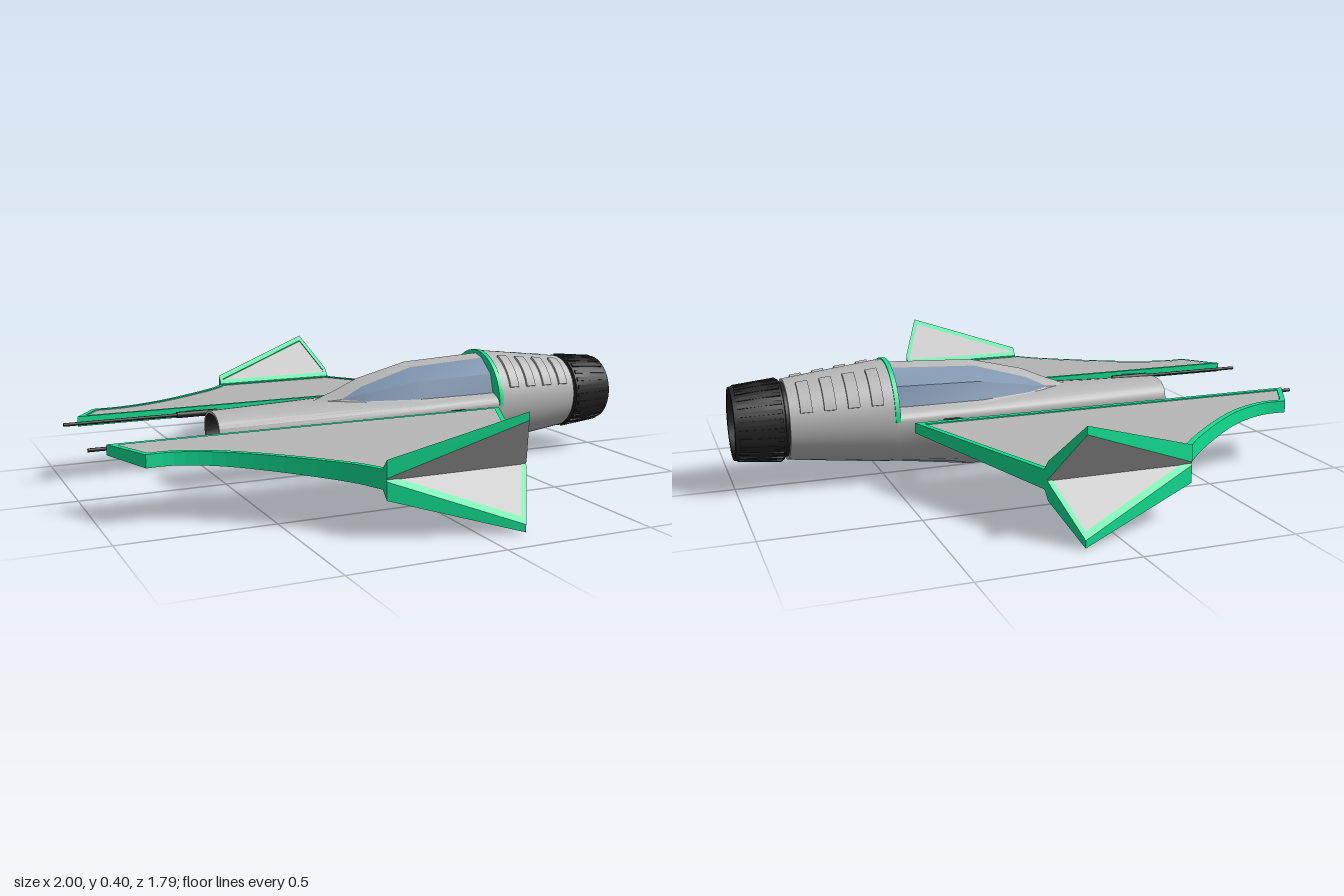
import * as THREE from 'three';
import { toCreasedNormals } from 'three/addons/utils/BufferGeometryUtils.js';

const mat = (name, color) => {
  const m = new THREE.MeshStandardMaterial({ color });
  m.name = name;
  return m;
};
const lerp = THREE.MathUtils.lerp;
const CY = 0.23; // height of the engine axis

// Surface through rows of [x, y, z] points
function grid(rows, crease = 0.6) {
  const n = rows[0].length, index = [];
  for (let i = 0; i < rows.length - 1; i++)
    for (let j = 0; j < n - 1; j++) {
      const a = i * n + j, b = a + n;
      index.push(a, b, b + 1, a, b + 1, a + 1);
    }
  const g = new THREE.BufferGeometry();
  g.setAttribute('position', new THREE.Float32BufferAttribute(rows.flat(2), 3));
  g.setIndex(index);
  return toCreasedNormals(g, crease);
}

// Hull cross-section: soft deck above, keel below (n = 2 is round)
function hullRing({ x, w, yb, yc, yt, n }, k = 1, px = x) {
  const pts = [];
  for (let i = 0; i <= 40; i++) {
    const a = (i / 40) * Math.PI * 2, c = Math.cos(a), s = Math.sin(a);
    const e = s >= 0 ? 2.5 : n, h = s >= 0 ? yt - yc : yc - yb;
    const p = (v) => Math.sign(v) * Math.pow(Math.abs(v), 2 / e);
    pts.push([px, yc + k * h * p(s), k * w * p(c)]);
  }
  return pts;
}

// Profile of [radius, x] turned about the engine axis
function turned(profile, seg = 40) {
  const g = new THREE.LatheGeometry(profile.map(([r, x]) => new THREE.Vector2(r, x)), seg);
  g.rotateZ(-Math.PI / 2).translate(0, CY, 0);
  return toCreasedNormals(g, 0.5);
}

// Outline moved inwards by d
function inset(pts, d) {
  const n = pts.length;
  const area = pts.reduce((s, p, i) => s + p.x * pts[(i + 1) % n].y - p.y * pts[(i + 1) % n].x, 0);
  return pts.map((p, i) => {
    const u = p.clone().sub(pts[(i + n - 1) % n]).normalize();
    const v = pts[(i + 1) % n].clone().sub(p).normalize();
    const m = new THREE.Vector2(-u.y - v.y, u.x + v.x);
    return p.clone().addScaledVector(m, (Math.sign(area) * 2 * d) / m.lengthSq());
  });
}

// Plate from a plan outline, its top and bottom heights following z
function plate(pts, top, bottom, hole) {
  const shape = new THREE.Shape(pts);
  if (hole) shape.holes.push(new THREE.Path(hole));
  const g = new THREE.ExtrudeGeometry(shape, { depth: 1, bevelEnabled: false });
  const p = g.attributes.position;
  for (let i = 0; i < p.count; i++) {
    const z = p.getY(i), a = Math.abs(z);
    p.setXYZ(i, p.getX(i), lerp(top(a), bottom(a), p.getZ(i)), z);
  }
  g.computeVertexNormals();
  return g;
}
const ramp = (z0, y0, z1, y1) => (z) => lerp(y0, y1, (z - z0) / (z1 - z0));

export function createModel() {
  const root = new THREE.Group();
  const grey = mat('hull grey', 0xb6b6b6);
  const green = mat('trim green', 0x12de92);
  const black = mat('engine black', 0x232323);
  const glass = mat('window blue', 0x7089a5);
  const add = (name, geo, m) => {
    const mesh = new THREE.Mesh(geo, m);
    mesh.name = name;
    root.add(mesh);
    return mesh;
  };

  // Front hull
  const stations = [
    { x: -0.545, w: 0.086, yb: 0.082, yc: 0.19, yt: 0.262, n: 1.5 },
    { x: 0.18, w: 0.176, yb: 0.005, yc: 0.225, yt: 0.275, n: 1.35 },
    { x: 0.488, w: 0.177, yb: 0.056, yc: 0.23, yt: 0.28, n: 2 },
  ];
  add('frontHull', grid(stations.map((s) => hullRing(s))), grey);
  const nose = stations[0];
  add('noseLip', grid([hullRing(nose, 0.88), hullRing(nose)]), grey);
  add('noseIntake', grid([hullRing(nose, 0, -0.5), hullRing(nose, 0.82, -0.5), hullRing(nose, 0.88)]), black);

  // Canopy: half profiles of [z, y] from the sill to the ridge
  const canopy = [
    [-0.2, [[0, 0.26], [0, 0.26], [0, 0.26], [0, 0.26], [0, 0.26]]],
    [-0.09, [[0.06, 0.252], [0.05, 0.275], [0.05, 0.275], [0.05, 0.275], [0, 0.302]]],
    [-0.01, [[0.1, 0.25], [0.083, 0.268], [0.072, 0.293], [0.046, 0.315], [0, 0.337]]],
    [0.18, [[0.168, 0.245], [0.13, 0.268], [0.108, 0.328], [0.045, 0.37], [0, 0.384]]],
    [0.485, [[0.17, 0.245], [0.13, 0.268], [0.11, 0.335], [0.045, 0.386], [0, 0.398]]],
  ].map(([x, half]) => [
    ...half.map(([z, y]) => [x, y, z]),
    ...half.slice(0, 4).reverse().map(([z, y]) => [x, y, -z]),
  ]);
  const strip = (from, to, first = 1) => grid(canopy.slice(first).map((r) => r.slice(from, to + 1)), 0.35);
  add('canopyFront', grid(canopy.slice(0, 2)), grey);
  add('canopyRidge', strip(3, 5), grey);
  add('leftSill', strip(0, 1), grey);
  add('rightSill', strip(7, 8), grey);
  add('leftWindow', strip(1, 3), glass);
  add('rightWindow', strip(5, 7), glass);

  // Green arch behind the canopy
  const arch = new THREE.CylinderGeometry(0.179, 0.179, 0.016, 32, 1, false, Math.PI, Math.PI);
  add('canopyArch', arch.rotateZ(-Math.PI / 2).translate(0.484, CY, 0), green);

  // Rear hull with curved vent ribs on both shoulders
  add('rearHull', turned([[0, 0.487], [0.175, 0.487], [0.175, 0.5], [0.135, 0.828], [0, 0.828]]), grey);
  const hullRadius = (x) => lerp(0.175, 0.135, (x - 0.5) / 0.328);
  for (const s of [1, -1])
    for (let i = 0; i < 4; i++) {
      const x = 0.547 + i * 0.076;
      const g = new THREE.BoxGeometry(0.038, 0.016, 0.82, 1, 1, 12);
      const p = g.attributes.position;
      for (let k = 0; k < p.count; k++) {
        const px = x + p.getX(k), r = hullRadius(px) + p.getY(k), a = p.getZ(k) + s * 0.81;
        p.setXYZ(k, px, CY + r * Math.cos(a), r * Math.sin(a));
      }
      add('ventRib', toCreasedNormals(g, 0.5), grey);
    }

  // Engine nozzle with ridges
  add('engineNozzle', turned([[0, 0.826], [0.125, 0.826], [0.125, 0.838], [0.135, 0.842], [0.134, 0.91],
    [0.121, 1], [0.1, 1], [0.092, 0.94], [0, 0.94]]), black);
  for (let i = 0; i < 28; i++) {
    const g = new THREE.BoxGeometry(0.14, 0.008, 0.014);
    g.rotateZ(-0.1).translate(0.918, 0.129, 0).rotateX((i / 28) * Math.PI * 2).translate(0, CY, 0);
    add('nozzleRidge', g, black);
  }

  // Turbine
  for (let i = 0; i < 20; i++) {
    const g = new THREE.BoxGeometry(0.022, 0.06, 0.009);
    g.rotateY(0.5).translate(0.955, 0.06, 0).rotateX((i / 20) * Math.PI * 2).translate(0, CY, 0);
    add('turbineBlade', g, green);
  }
  add('turbineHub', turned([[0.034, 0.938], [0.032, 0.965], [0.018, 0.98], [0, 0.985]], 20), green);

  // Plan outlines of wing and winglets
  const curve = new THREE.SplineCurve([[-0.865, 0.375], [-0.77, 0.378], [-0.65, 0.425], [-0.53, 0.505],
    [-0.4, 0.612], [-0.32, 0.69], [-0.27, 0.76]].map(([x, z]) => new THREE.Vector2(x, z)));
  const wingPlan = [[0.2, 0.76], [0.442, 0.225], [-0.948, 0.225]].map(([x, z]) => new THREE.Vector2(x, z));
  wingPlan.unshift(...curve.getPoints(20));
  const wingletPlan = [[-0.27, 0.75], [-0.27, 0.778], [0.13, 0.893], [0.2, 0.778], [0.2, 0.75]]
    .map(([x, z]) => new THREE.Vector2(x, z));
  const panels = [
    ['wing', wingPlan, ramp(0.225, 0.233, 0.76, 0.207), ramp(0.225, 0.203, 0.76, 0.15)],
    ['upperWinglet', wingletPlan, ramp(0.75, 0.208, 0.893, 0.367), ramp(0.75, 0.15, 0.893, 0.345)],
    ['lowerWinglet', wingletPlan, ramp(0.75, 0.21, 0.893, 0.028), ramp(0.75, 0.15, 0.893, 0.008)],
  ];

  for (const s of [1, -1]) {
    const side = s > 0 ? 'near' : 'far';
    const flip = (pts) => pts.map((p) => new THREE.Vector2(p.x, p.y * s));
    // Panels with green edges and a border on the upper face
    for (const [name, plan, top, bottom] of panels) {
      add(`${name}_${side}`, plate(flip(plan), top, bottom), [grey, green]);
      const border = plate(flip(plan), (z) => top(z) + 0.004, (z) => top(z) - 0.001,
        flip(inset(plan, name === 'wing' ? 0.018 : 0.014)));
      add(`${name}Border_${side}`, border, green);
    }
    // Gun along the wing root
    const rod = (r, x0, x1, seg) =>
      new THREE.CylinderGeometry(r, r, x1 - x0, seg).rotateZ(-Math.PI / 2).translate((x0 + x1) / 2, 0.218, s * 0.2);
    add(`gunBarrel_${side}`, rod(0.006, -1, -0.5, 10), black);
    add(`gunBody_${side}`, rod(0.011, -0.61, -0.465, 10), black);
    add(`gunMount_${side}`, new THREE.BoxGeometry(0.05, 0.014, 0.03).translate(-0.54, 0.218, s * 0.217), green);
    // Pylon joining wing and hull
    add(`wingPylon_${side}`, new THREE.CylinderGeometry(0.038, 0.038, 0.02, 6).rotateY(Math.PI / 6)
      .translate(0.303, 0.218, s * 0.2), black);
  }
  return root;
}
